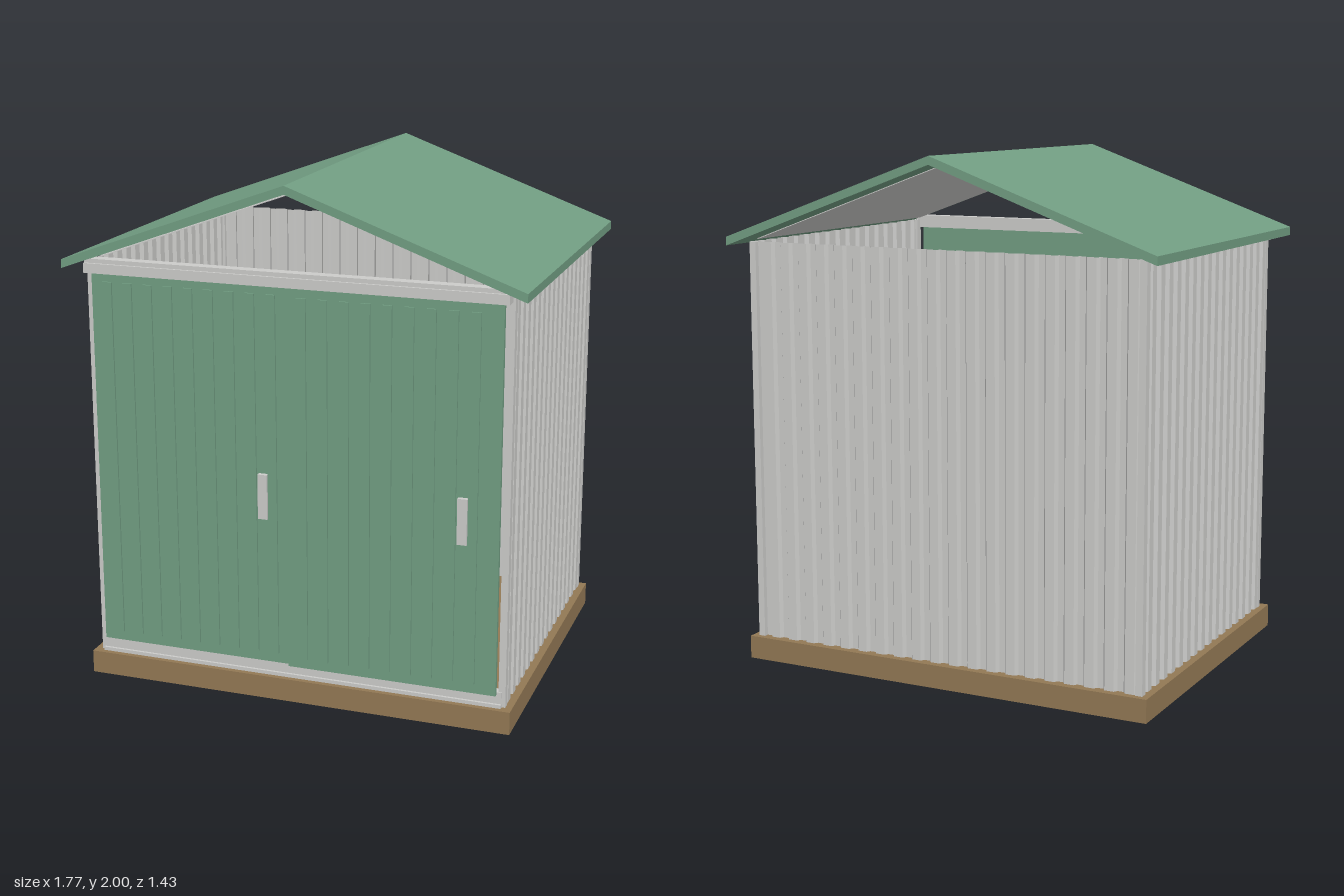
import * as THREE from 'three';

export function createModel() {
  const model = new THREE.Group();
  model.name = 'gardenShed';
  const mat = (name, color, side = THREE.FrontSide) => {
    const m = new THREE.MeshStandardMaterial({ color, side });
    m.name = name;
    return m;
  };
  const green = mat('sageGreen', 0x719d82);
  const grey = mat('lightGrey', 0xcbcbc9, THREE.DoubleSide);
  const brown = mat('woodBrown', 0x927854);

  const add = (name, geometry, material, parent = model) => {
    const mesh = new THREE.Mesh(geometry, material);
    mesh.name = name;
    parent.add(mesh);
    return mesh;
  };
  // Box given by its lower and upper limits on each axis
  const box = (name, [x0, x1], [y0, y1], [z0, z1], material, parent) => {
    const g = new THREE.BoxGeometry(x1 - x0, y1 - y0, z1 - z0);
    g.translate((x0 + x1) / 2, (y0 + y1) / 2, (z0 + z1) / 2);
    return add(name, g, material, parent);
  };

  // Floor slab
  box('base', [-0.85, 0.85], [0, 0.09], [-0.673, 0.665], brown);

  // Gabled roof, one solid profile with vertical eaves
  const roofShape = new THREE.Shape([
    [-0.887, 1.645], [0, 1.968], [0.887, 1.645],
    [0.887, 1.678], [0, 2], [-0.887, 1.678],
  ].map(([x, y]) => new THREE.Vector2(x, y)));
  const roof = new THREE.ExtrudeGeometry(roofShape, { depth: 1.43, bevelEnabled: false });
  add('roof', roof.translate(0, 0, -0.715), green);

  // Thin lining sheets under both roof slopes
  const liningLength = Math.hypot(0.8, 0.292);
  for (const s of [-1, 1]) {
    const lining = add('roofLining', new THREE.BoxGeometry(liningLength, 0.003, 1.26), grey);
    lining.position.set(s * 0.4, 1.814, 0);
    lining.rotation.z = -s * Math.atan2(0.292, 0.8);
  }

  // Corrugated sheet: trapezoid ribs made by moving the columns of a plane
  const bottom = 0.09, top = 1.658;
  const corrugated = (name, width, ribs) => {
    const pitch = width / ribs, depth = 0.014;
    const steps = [[0, 0], [0.3, 0], [0.42, 1], [0.88, 1]];
    const plane = new THREE.PlaneGeometry(width, top - bottom, ribs * 4, 1);
    const p = plane.attributes.position, columns = ribs * 4 + 1;
    for (let i = 0; i < p.count; i++) {
      const c = i % columns;
      const [u, d] = steps[c % 4];
      p.setX(i, -width / 2 + (Math.floor(c / 4) + u) * pitch);
      p.setZ(i, -depth * (1 - d));
    }
    const g = plane.toNonIndexed();
    g.computeVertexNormals();
    return add(name, g, grey);
  };
  const middle = (bottom + top) / 2;
  for (const s of [-1, 1]) {
    const wall = corrugated(s > 0 ? 'leftWall' : 'rightWall', 1.24, 16);
    wall.rotation.y = s * Math.PI / 2;
    wall.position.set(s * 0.822, middle, -0.005);
  }
  const back = corrugated('backWall', 1.6, 20);
  back.rotation.y = Math.PI;
  back.position.set(0, middle, -0.645);

  // Corner posts
  for (const s of [-1, 1]) {
    const [a, b] = s > 0 ? [0.797, 0.824] : [-0.824, -0.797];
    box('frontPost', [a, b], [bottom, top], [0.6, 0.63], grey);
    box('backPost', [a, b], [bottom, top], [-0.65, -0.62], grey);
  }

  // Door rails
  box('bottomRail', [-0.81, 0.81], [0.09, 0.104], [0.6, 0.645], grey);
  box('sill', [-0.81, 0.81], [0.104, 0.15], [0.6, 0.635], grey);
  box('topRail', [-0.815, 0.815], [1.625, 1.662], [0.625, 0.68], grey);
  box('topRailCap', [-0.815, 0.815], [1.662, 1.678], [0.625, 0.67], grey);

  // Sliding doors with raised ribs and a handle, one running behind the other
  const door = (name, x0, x1, ribStart, z) => {
    const group = new THREE.Group();
    group.name = name;
    model.add(group);
    box('doorPanel', [x0, x1], [0.148, 1.625], [z, z + 0.017], green, group);
    for (let i = 0; i < 9; i++) {
      const x = ribStart + i * 0.0815;
      box('doorRib', [x, x + 0.036], [0.187, 1.59], [z + 0.016, z + 0.025], green, group);
    }
    const h = ribStart + 7 * 0.0815 + 0.045;
    box('handle', [h, h + 0.037], [0.73, 0.905], [z + 0.016, z + 0.035], grey, group);
  };
  door('rightDoor', -0.798, 0.01, -0.751, 0.631);
  door('leftDoor', -0.018, 0.795, 0.026, 0.65);

  return model;
}
